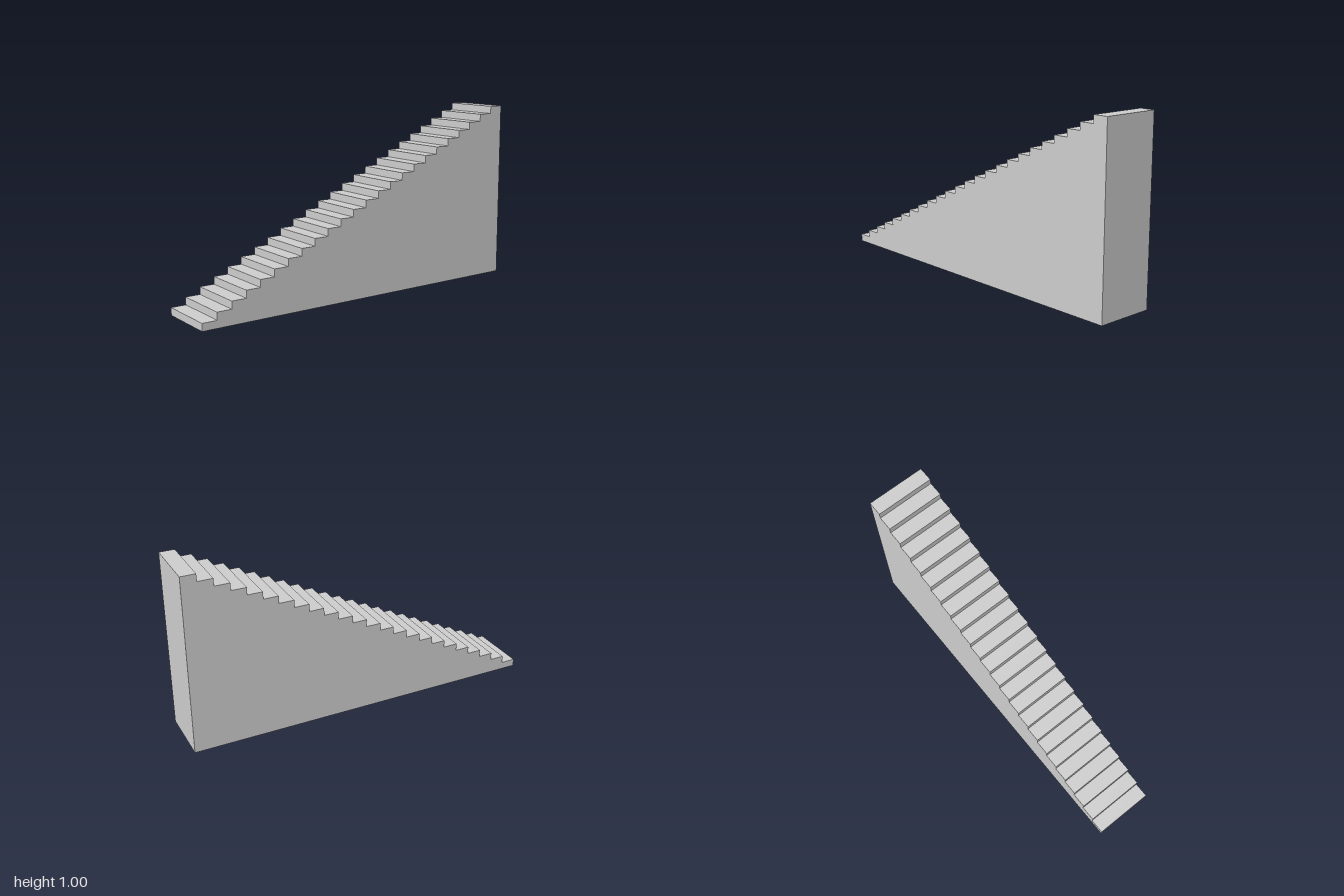
import * as THREE from 'three';

const STEPS = 24;
const LENGTH = 2, HEIGHT = 1, WIDTH = 1 / 3;

// Side profile of the solid flight: shape x runs along the model's z
function stairProfile() {
  const tread = LENGTH / STEPS, rise = HEIGHT / STEPS;
  const shape = new THREE.Shape();
  shape.moveTo(-LENGTH / 2, 0);
  shape.lineTo(LENGTH / 2, 0);
  for (let i = 0; i < STEPS; i++) {
    const y = (i + 1) * rise;
    shape.lineTo(LENGTH / 2 - i * tread, y); // riser
    shape.lineTo(LENGTH / 2 - (i + 1) * tread, y); // tread
  }
  shape.closePath();
  return shape;
}

export function createModel() {
  const group = new THREE.Group();
  group.name = 'staircase';

  // Solid flight of steps, climbing from the front (+z) to the back
  const geometry = new THREE.ExtrudeGeometry(stairProfile(), { depth: WIDTH, bevelEnabled: false });
  geometry.translate(0, 0, -WIDTH / 2);
  geometry.rotateY(-Math.PI / 2);

  const material = new THREE.MeshStandardMaterial({ color: 0xcccccc, flatShading: true });
  const flight = new THREE.Mesh(geometry, material);
  flight.name = 'stairFlight';
  group.add(flight);
  return group;
}
